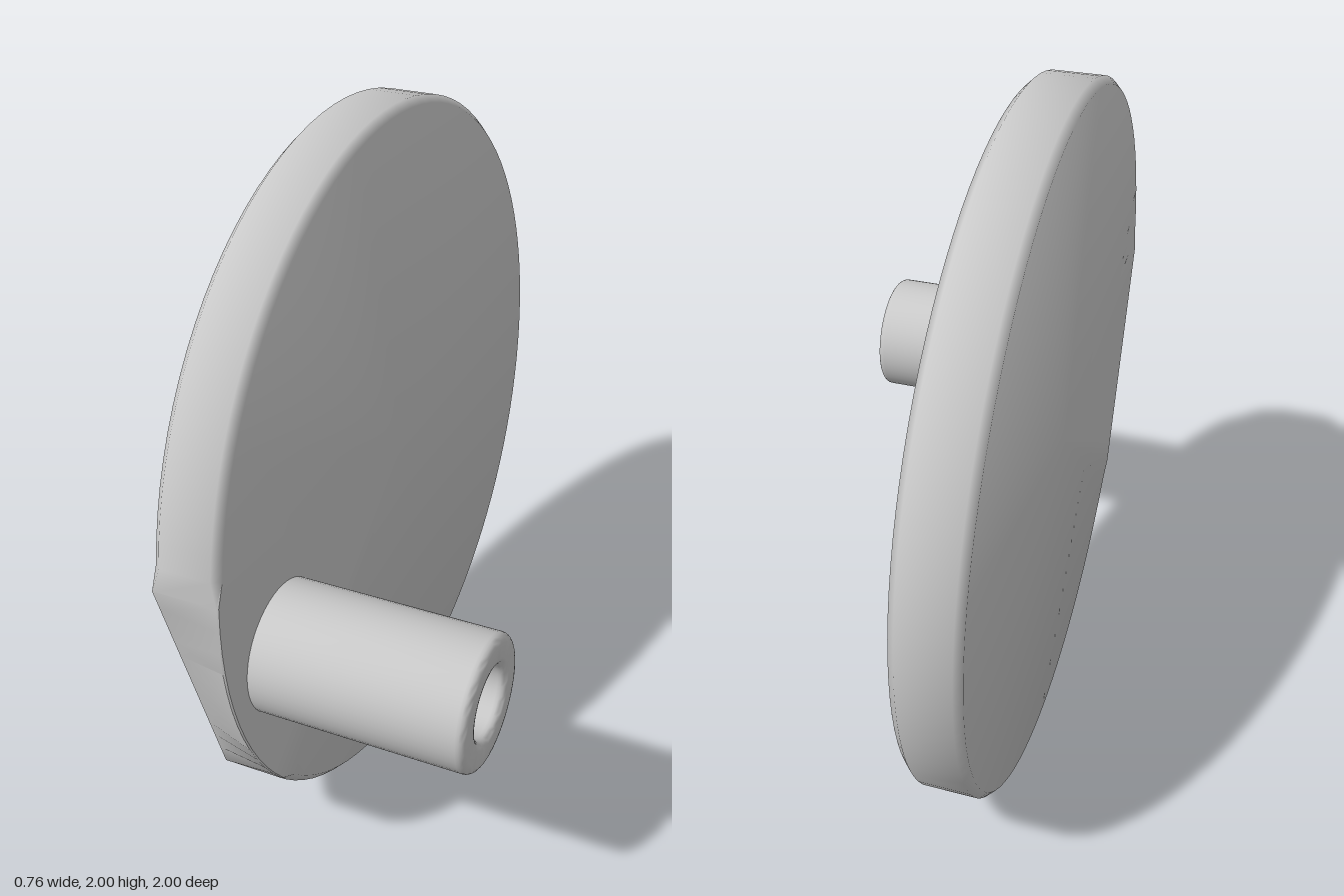
import * as THREE from 'three';
import { toCreasedNormals } from 'three/addons/utils/BufferGeometryUtils.js';

const grey = new THREE.MeshStandardMaterial({ color: 0xc8c8c8 });
grey.name = 'plain grey';

const SEGMENTS = 96;
const BACK = -0.38, FRONT = -0.2, BEVEL = 0.02;

// Bevelled disc about the x axis; its back edge is cut along a chord near the handle
function discGeometry() {
  const step = (Math.PI * 2) / SEGMENTS;
  const cutFrom = -10, cutTo = 2;
  const middle = ((cutFrom + cutTo) / 2) * step;
  const half = ((cutTo - cutFrom) / 2) * step;

  // [x, radius] from the centre of the back to the centre of the front
  const section = (i) => {
    const k = i > SEGMENTS / 2 ? i - SEGMENTS : i;
    if (k >= cutFrom && k <= cutTo) {
      const chord = Math.cos(half) / Math.cos(k * step - middle);
      return [[BACK, 0], [BACK, chord], [BACK + 0.005, chord + (1 - chord) * 0.03],
        [FRONT - 0.005, 1], [FRONT, 0.997], [FRONT, 0]];
    }
    return [[BACK, 0], [BACK, 1 - BEVEL], [BACK + BEVEL, 1],
      [FRONT - BEVEL, 1], [FRONT, 1 - BEVEL], [FRONT, 0]];
  };

  const positions = [], indices = [];
  const rings = 6;
  for (let i = 0; i < SEGMENTS; i++) {
    const a = i * step;
    for (const [x, r] of section(i)) {
      positions.push(x, 1 + Math.sin(a) * r, Math.cos(a) * r);
    }
    const next = (i + 1) % SEGMENTS;
    for (let j = 0; j < rings - 1; j++) {
      const p = i * rings + j, q = next * rings + j;
      if (j < rings - 2) indices.push(p, p + 1, q + 1);
      if (j > 0) indices.push(p, q + 1, q);
    }
    // close the front fan
    const p = i * rings + rings - 2, q = next * rings + rings - 2;
    indices.push(p, p + 1, q);
  }
  const geometry = new THREE.BufferGeometry();
  geometry.setAttribute('position', new THREE.Float32BufferAttribute(positions, 3));
  geometry.setIndex(indices);
  return toCreasedNormals(geometry, 0.9);
}

// Hollow round handle with softened lips
function handleGeometry() {
  const outer = 0.18, inner = 0.095, tip = 0.38, lip = 0.022;
  const profile = [new THREE.Vector2(outer, FRONT - 0.01)];
  for (let i = 0; i <= 4; i++) {
    const a = (i / 4) * Math.PI / 2;
    profile.push(new THREE.Vector2(outer - lip + Math.cos(a) * lip, tip - lip + Math.sin(a) * lip));
  }
  for (let i = 0; i <= 4; i++) {
    const a = (i / 4) * Math.PI / 2;
    profile.push(new THREE.Vector2(inner + lip - Math.sin(a) * lip, tip - lip + Math.cos(a) * lip));
  }
  profile.push(new THREE.Vector2(inner, FRONT + 0.01), new THREE.Vector2(0, FRONT + 0.01));
  const geometry = new THREE.LatheGeometry(profile, 48);
  geometry.rotateZ(-Math.PI / 2);
  return toCreasedNormals(geometry, 0.9);
}

export function createModel() {
  const group = new THREE.Group();
  group.name = 'crankWheel';

  const disc = new THREE.Mesh(discGeometry(), grey);
  disc.name = 'disc';

  const handle = new THREE.Mesh(handleGeometry(), grey);
  handle.name = 'handle';
  handle.position.set(0, 0.82, 0.73);

  group.add(disc, handle);
  return group;
}
